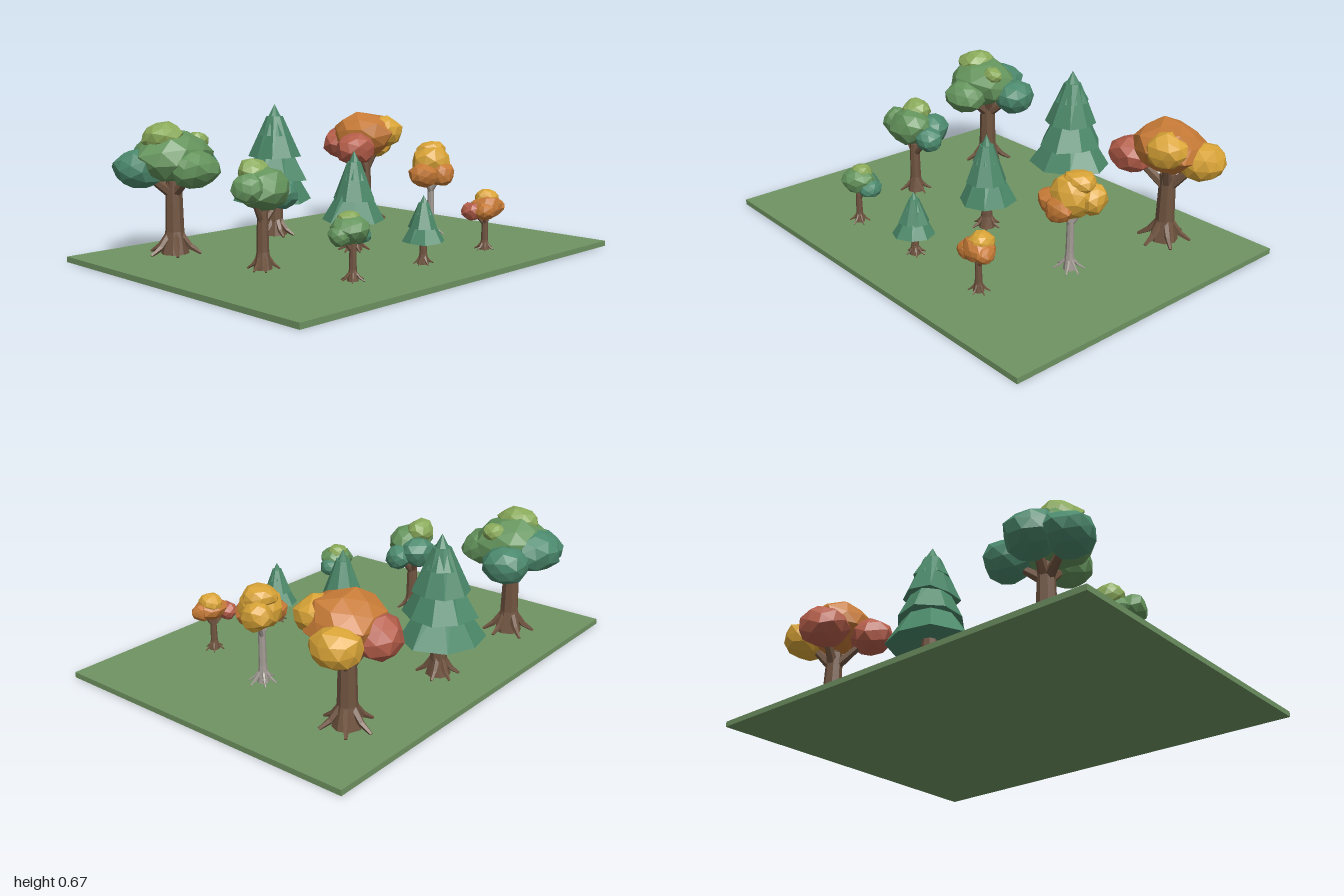
import * as THREE from 'three';
import { mergeVertices, mergeGeometries } from 'three/addons/utils/BufferGeometryUtils.js';

const mat = (name, color) => new THREE.MeshStandardMaterial({ name, color, flatShading: true });

const M = {
  grass: mat('grass green', 0x6f9362),
  bark: mat('brown bark', 0x705440),
  pale: mat('pale grey bark', 0xa39b94),
  fir: mat('fir green', 0x4b8869),
  dark: mat('dark leaf green', 0x4c8a6e),
  mid: mat('mid leaf green', 0x64945c),
  light: mat('light leaf green', 0x8aaa5a),
  red: mat('autumn red', 0xb65e4a),
  orange: mat('autumn orange', 0xc67a36),
  gold: mat('autumn gold', 0xd9a437),
};
const GROUND = 0.025;

// Seeded random numbers
let seed = 7;
const rand = (a, b) => {
  seed = (seed * 16807) % 2147483647;
  return a + (b - a) * (seed / 2147483647);
};

const V = (x, y, z) => new THREE.Vector3(x, y, z);

function add(parent, name, geometry, material) {
  const mesh = new THREE.Mesh(geometry, material);
  mesh.name = name;
  parent.add(mesh);
  return mesh;
}

// Tapered limb between two points
function limb(a, b, r0, r1, sides = 6) {
  const d = b.clone().sub(a);
  const g = new THREE.CylinderGeometry(r1, r0, d.length(), sides);
  g.applyQuaternion(new THREE.Quaternion().setFromUnitVectors(V(0, 1, 0), d.normalize()));
  const c = a.clone().add(b).multiplyScalar(0.5);
  return g.translate(c.x, c.y, c.z);
}

// Faceted clump of leaves with uneven corners
function clump([x, y, z, rx, ry, rz]) {
  let g = new THREE.IcosahedronGeometry(1, 1);
  g.deleteAttribute('uv');
  g.deleteAttribute('normal');
  g = mergeVertices(g, 1e-3);
  g.rotateY(rand(0, 6)).rotateX(rand(0, 6));
  const p = g.attributes.position;
  for (let i = 0; i < p.count; i++) {
    const k = rand(0.9, 1.08);
    p.setXYZ(i, p.getX(i) * k, p.getY(i) * k, p.getZ(i) * k);
  }
  g.scale(rx, ry, rz).translate(x, y, z);
  g.computeVertexNormals();
  return g;
}

// Flared trunk with spreading roots, and branches reaching to the given points
function trunk(x, z, r, height, spread, branches = []) {
  const parts = [];
  const base = V(x, GROUND, z);
  const at = (dx, dy, dz) => base.clone().add(V(dx, dy, dz));
  parts.push(limb(at(0, 0, 0), at(0, height * 0.3, 0), r * 1.5, r, 8));
  parts.push(limb(at(0, height * 0.3, 0), at(0, height, 0), r, r * 0.85, 8));
  const n = 6, turn = rand(0, 1);
  for (let i = 0; i < n; i++) {
    const a = turn + (i / n) * Math.PI * 2 + rand(-0.2, 0.2);
    const c = Math.cos(a), s = Math.sin(a), R = spread * rand(0.88, 1.05);
    const knee = at(c * R * 0.58, spread * 0.28, s * R * 0.58);
    parts.push(limb(at(c * r * 0.6, spread * 0.75, s * r * 0.6), knee, r * 0.4, r * 0.34, 5));
    parts.push(limb(knee, at(c * R, 0.002, s * R), r * 0.34, r * 0.16, 5));
  }
  for (const [bx, by, bz] of branches) {
    parts.push(limb(at(0, height * 0.78, 0), V(bx, by, bz), r * 0.6, r * 0.3));
  }
  return mergeGeometries(parts);
}

// Leafy tree: clumps are [x, y, z, rx, ry, rz, colour]
function leafyTree(name, { x, z, r, height, spread, bark, clumps }) {
  const tree = new THREE.Group();
  tree.name = name;
  add(tree, 'trunk', trunk(x, z, r, height, spread, clumps), M[bark]);
  for (const c of clumps) add(tree, 'leafClump', clump(c), M[c[6]]);
  return tree;
}

// Fir tree: stacked tiers with uneven, drooping skirts
function firTree(name, { x, z, r, spread, bottom, top, radius, tiers }) {
  const tree = new THREE.Group();
  tree.name = name;
  add(tree, 'trunk', trunk(x, z, r, bottom + 0.05 - GROUND, spread), M.bark);
  const step = (top - bottom) / (tiers + 0.4);
  for (let t = 0; t < tiers; t++) {
    const last = t === tiers - 1;
    const R = radius * (1 - (0.56 * t) / (tiers - 1));
    const h = last ? step * 1.4 : step * 1.85;
    const sides = 8;
    const g = new THREE.CylinderGeometry(last ? 0 : R * 0.32, R, h, sides, 1);
    const jitter = Array.from({ length: sides }, () => [rand(0.87, 1.06), rand(-0.03, 0.03) * R]);
    const turn = t * 0.37;
    const p = g.attributes.position;
    for (let i = 0; i < p.count; i++) {
      const px = p.getX(i), pz = p.getZ(i);
      if (p.getY(i) > 0) continue;
      if (Math.hypot(px, pz) < R * 0.5) {
        p.setY(i, -h / 2 + R * 0.12);
        continue;
      }
      const k = Math.round((Math.atan2(pz, px) / (Math.PI * 2)) * sides + sides) % sides;
      p.setXYZ(i, px * jitter[k][0], p.getY(i) + jitter[k][1], pz * jitter[k][0]);
    }
    g.rotateY(turn).translate(x, bottom + t * step + h / 2, z);
    add(tree, 'needleTier', g, M.fir);
  }
  return tree;
}

export function createModel() {
  const model = new THREE.Group();
  model.name = 'treeCollection';

  // Ground slab
  add(model, 'ground', new THREE.BoxGeometry(2, GROUND, 1.52).translate(0, GROUND / 2, 0), M.grass);

  // Green leafy trees, large to small
  model.add(leafyTree('largeGreenTree', {
    x: -0.615, z: -0.48, r: 0.043, height: 0.34, spread: 0.12, bark: 'bark',
    clumps: [
      [-0.63, 0.47, -0.46, 0.18, 0.12, 0.165, 'mid'],
      [-0.61, 0.42, -0.33, 0.115, 0.085, 0.105, 'mid'],
      [-0.77, 0.42, -0.53, 0.11, 0.09, 0.12, 'dark'],
      [-0.465, 0.41, -0.53, 0.105, 0.09, 0.105, 'dark'],
      [-0.64, 0.44, -0.59, 0.125, 0.1, 0.115, 'dark'],
      [-0.68, 0.555, -0.46, 0.095, 0.07, 0.1, 'light'],
      [-0.52, 0.53, -0.43, 0.055, 0.045, 0.05, 'light'],
    ],
  }));
  model.add(leafyTree('mediumGreenTree', {
    x: -0.55, z: 0.05, r: 0.027, height: 0.25, spread: 0.078, bark: 'bark',
    clumps: [
      [-0.56, 0.37, 0.07, 0.125, 0.09, 0.095, 'mid'],
      [-0.645, 0.38, 0.08, 0.075, 0.065, 0.07, 'mid'],
      [-0.5, 0.35, -0.02, 0.09, 0.075, 0.08, 'dark'],
      [-0.435, 0.33, 0.05, 0.07, 0.06, 0.065, 'dark'],
      [-0.57, 0.435, 0.02, 0.075, 0.06, 0.07, 'light'],
    ],
  }));
  model.add(leafyTree('smallGreenTree', {
    x: -0.435, z: 0.465, r: 0.016, height: 0.15, spread: 0.05, bark: 'bark',
    clumps: [
      [-0.44, 0.235, 0.46, 0.085, 0.06, 0.078, 'mid'],
      [-0.495, 0.215, 0.455, 0.052, 0.045, 0.05, 'mid'],
      [-0.375, 0.205, 0.44, 0.05, 0.042, 0.058, 'dark'],
      [-0.42, 0.22, 0.42, 0.055, 0.045, 0.05, 'dark'],
      [-0.435, 0.27, 0.445, 0.055, 0.04, 0.05, 'light'],
    ],
  }));

  // Fir trees, large to small
  model.add(firTree('largeFir', { x: 0, z: -0.49, r: 0.038, spread: 0.1, bottom: 0.2, top: 0.67, radius: 0.2, tiers: 4 }));
  model.add(firTree('mediumFir', { x: 0, z: 0.05, r: 0.026, spread: 0.07, bottom: 0.165, top: 0.485, radius: 0.142, tiers: 3 }));
  model.add(firTree('smallFir', { x: 0, z: 0.465, r: 0.017, spread: 0.048, bottom: 0.125, top: 0.325, radius: 0.096, tiers: 3 }));

  // Autumn trees, large to small
  model.add(leafyTree('largeAutumnTree', {
    x: 0.62, z: -0.48, r: 0.043, height: 0.32, spread: 0.12, bark: 'bark',
    clumps: [
      [0.62, 0.48, -0.47, 0.17, 0.12, 0.165, 'orange'],
      [0.47, 0.42, -0.4, 0.105, 0.085, 0.1, 'red'],
      [0.58, 0.43, -0.585, 0.115, 0.095, 0.115, 'red'],
      [0.755, 0.43, -0.54, 0.105, 0.09, 0.11, 'gold'],
      [0.68, 0.5, -0.385, 0.1, 0.08, 0.09, 'gold'],
    ],
  }));
  model.add(leafyTree('mediumAutumnTree', {
    x: 0.545, z: 0.05, r: 0.018, height: 0.27, spread: 0.072, bark: 'pale',
    clumps: [
      [0.55, 0.375, 0.045, 0.1, 0.1, 0.095, 'gold'],
      [0.46, 0.33, 0.07, 0.072, 0.06, 0.07, 'orange'],
      [0.545, 0.33, 0.12, 0.065, 0.06, 0.06, 'orange'],
      [0.62, 0.37, 0.0, 0.065, 0.07, 0.068, 'gold'],
      [0.57, 0.435, 0.03, 0.08, 0.055, 0.075, 'gold'],
    ],
  }));
  model.add(leafyTree('smallAutumnTree', {
    x: 0.435, z: 0.465, r: 0.016, height: 0.15, spread: 0.048, bark: 'bark',
    clumps: [
      [0.44, 0.225, 0.47, 0.078, 0.055, 0.07, 'orange'],
      [0.375, 0.205, 0.435, 0.046, 0.042, 0.05, 'red'],
      [0.4, 0.21, 0.49, 0.05, 0.042, 0.045, 'orange'],
      [0.49, 0.22, 0.48, 0.045, 0.042, 0.045, 'orange'],
      [0.45, 0.26, 0.46, 0.055, 0.042, 0.055, 'gold'],
    ],
  }));

  return model;
}
